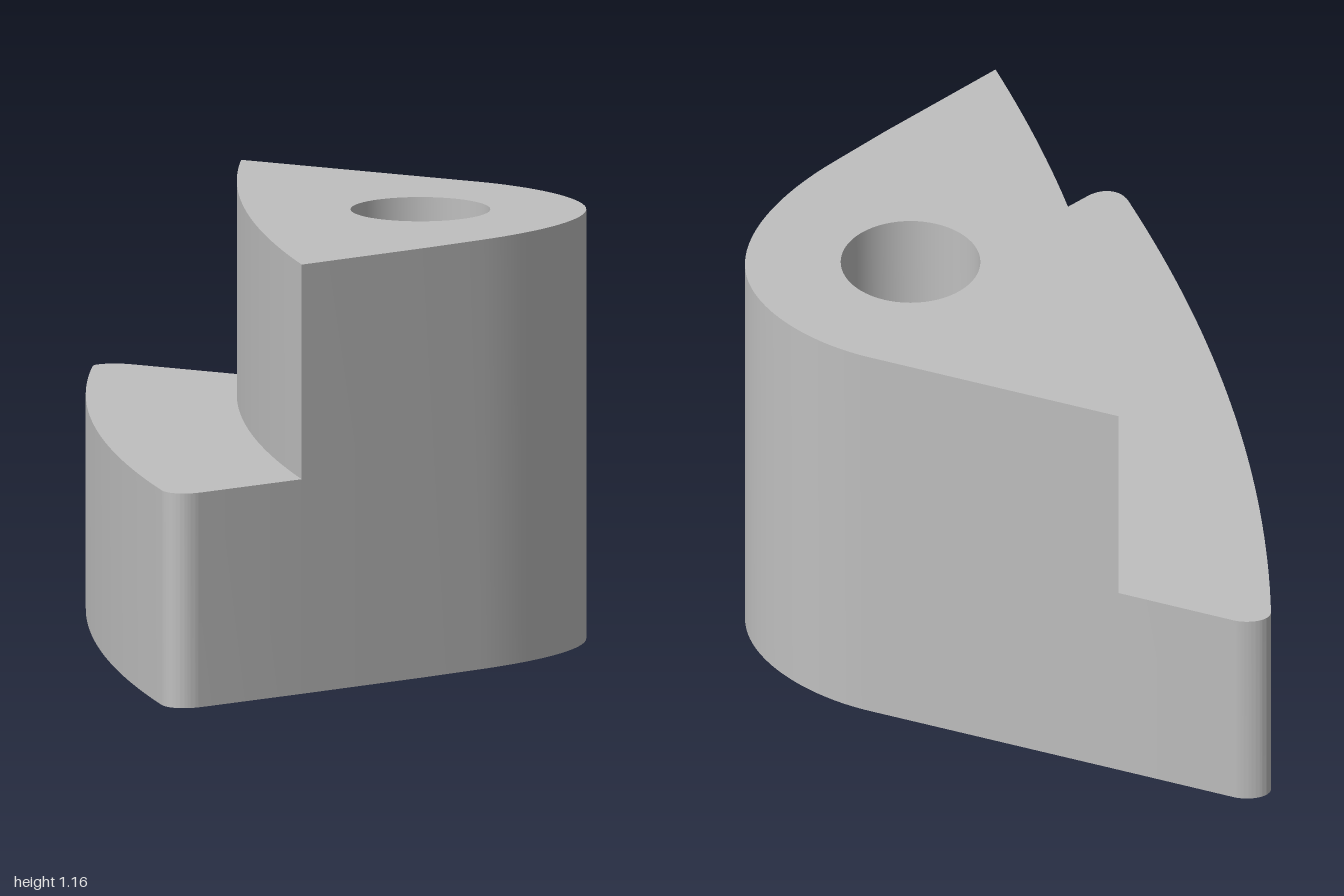
import * as THREE from 'three';
import { toCreasedNormals } from 'three/addons/utils/BufferGeometryUtils.js';

const LEDGE_HEIGHT = 0.58;
const BODY_HEIGHT = 1.16;

// Extrude a plan outline upward from the ground (shape y = -z).
function upright(name, shape, height, material) {
  const geometry = new THREE.ExtrudeGeometry(shape, { depth: height, bevelEnabled: false, curveSegments: 32 });
  geometry.rotateX(-Math.PI / 2);
  const mesh = new THREE.Mesh(toCreasedNormals(geometry, Math.PI / 6), material);
  mesh.name = name;
  return mesh;
}

export function createModel() {
  const grey = new THREE.MeshStandardMaterial({ color: 0xbfbfbf });
  grey.name = 'grey';

  // Tall body: curved back wall, straight flanks, rounded nose
  const body = new THREE.Shape();
  body.moveTo(-0.178, -0.808);
  body.lineTo(0.164, -0.588);
  body.lineTo(0.33, -0.475);
  body.bezierCurveTo(0.52, -0.345, 0.653, -0.17, 0.653, 0);
  body.bezierCurveTo(0.653, 0.16, 0.54, 0.325, 0.40, 0.415);
  body.lineTo(-0.196, 0.803);
  body.quadraticCurveTo(-0.319, 0.06, -0.178, -0.808);

  // Vertical through hole
  const hole = new THREE.Path();
  hole.absarc(0.212, 0.008, 0.186, 0, Math.PI * 2, true);
  body.holes.push(hole);

  // Low curved ledge with rounded tips, following the body's back wall
  const ledge = new THREE.Shape();
  ledge.moveTo(-0.178, -0.808);
  ledge.quadraticCurveTo(-0.319, 0.06, -0.196, 0.803);
  ledge.lineTo(-0.476, 0.986);
  ledge.bezierCurveTo(-0.51, 1.006, -0.568, 1.006, -0.578, 0.968);
  ledge.quadraticCurveTo(-0.739, 0.06, -0.565, -0.94);
  ledge.bezierCurveTo(-0.555, -1.0, -0.505, -1.013, -0.46, -0.984);
  ledge.lineTo(-0.178, -0.808);

  const model = new THREE.Group();
  model.name = 'steppedBlock';
  model.add(
    upright('body', body, BODY_HEIGHT, grey),
    upright('ledge', ledge, LEDGE_HEIGHT, grey)
  );
  return model;
}
